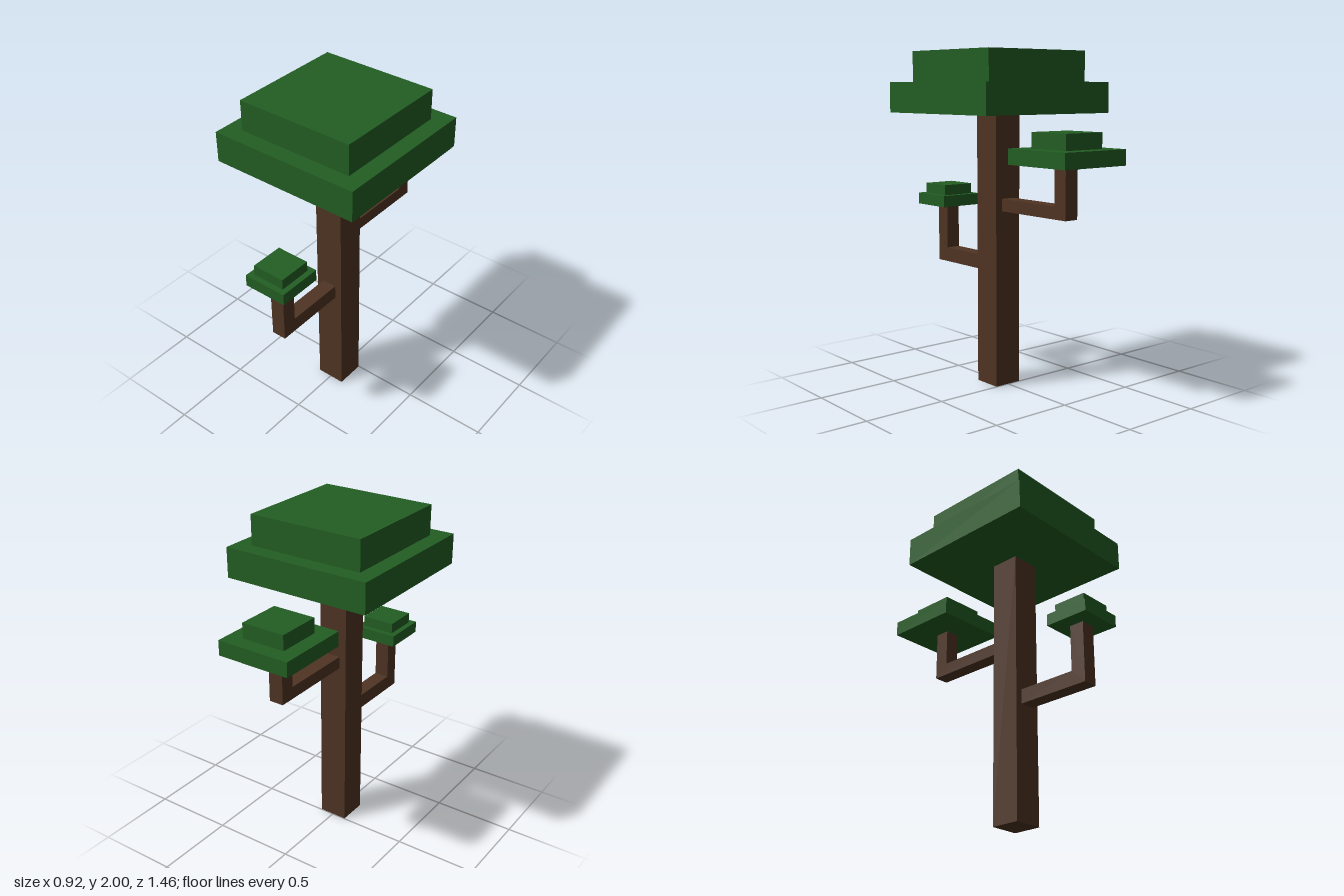
import * as THREE from 'three';

const bark = new THREE.MeshStandardMaterial({ color: 0x4f3423 });
bark.name = 'bark brown';
const leaf = new THREE.MeshStandardMaterial({ color: 0x235e23 });
leaf.name = 'leaf green';

// Box centred on x = 0, given its width and its y and z ranges
function block(name, material, width, y0, y1, z0, z1) {
  const mesh = new THREE.Mesh(new THREE.BoxGeometry(width, y1 - y0, z1 - z0), material);
  mesh.position.set(0, (y0 + y1) / 2, (z0 + z1) / 2);
  mesh.name = name;
  return mesh;
}

// Two stacked square slabs of leaves
function foliage(name, z, lowerSize, upperSize, y0, y1, y2) {
  const group = new THREE.Group();
  group.name = name;
  group.add(
    block('lowerLeaves', leaf, lowerSize, y0, y1, z - lowerSize / 2, z + lowerSize / 2),
    block('upperLeaves', leaf, upperSize, y1, y2, z - upperSize / 2, z + upperSize / 2)
  );
  return group;
}

// L-shaped branch: runs out from the trunk face, then turns straight up
function branch(name, zStart, zEnd, yBottom, armHeight, yTop) {
  const width = 0.09;
  const inner = zEnd - Math.sign(zEnd - zStart) * width;
  const shape = new THREE.Shape([
    [zStart, yBottom], [zEnd, yBottom], [zEnd, yTop],
    [inner, yTop], [inner, yBottom + armHeight], [zStart, yBottom + armHeight],
  ].map(([z, y]) => new THREE.Vector2(z, y)));
  const geometry = new THREE.ExtrudeGeometry(shape, { depth: width, bevelEnabled: false });
  geometry.translate(0, 0, -width / 2).rotateY(-Math.PI / 2);
  const mesh = new THREE.Mesh(geometry, bark);
  mesh.name = name;
  return mesh;
}

export function createModel() {
  const tree = new THREE.Group();
  tree.name = 'tree';
  tree.add(
    block('trunk', bark, 0.178, 0, 1.64, 0.003, 0.181),
    foliage('crown', 0.092, 0.916, 0.718, 1.64, 1.82, 2),
    branch('frontBranch', 0.181, 0.638, 0.688, 0.088, 1.05),
    foliage('frontLeaves', 0.593, 0.272, 0.204, 1.05, 1.12, 1.183),
    branch('backBranch', 0.003, -0.54, 1.064, 0.074, 1.366),
    foliage('backLeaves', -0.499, 0.456, 0.272, 1.366, 1.456, 1.547)
  );
  return tree;
}
